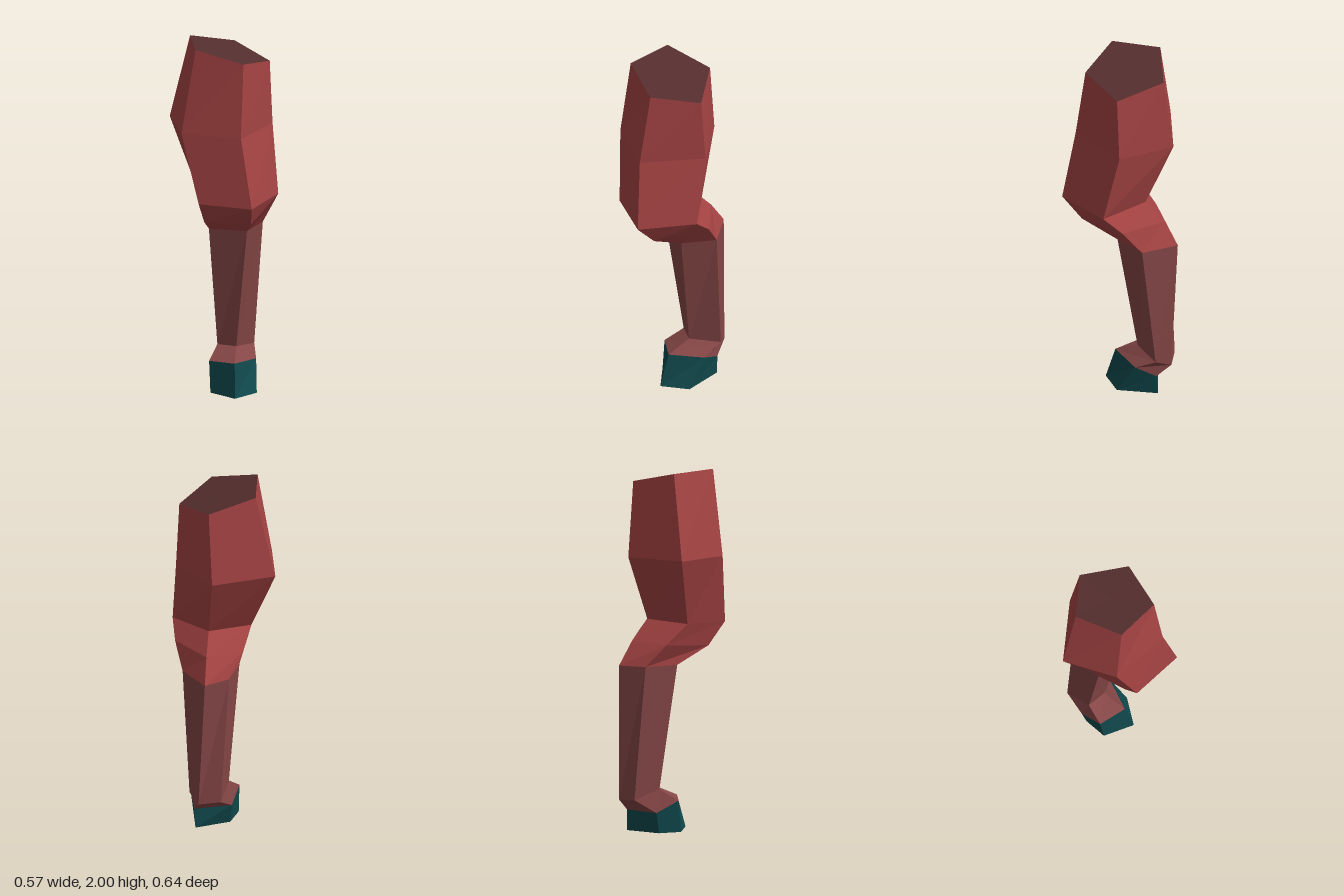
import * as THREE from 'three';

// Five-sided cross-sections, top to bottom; corners run left, front left, front right, back right, back left
const hip = [[0.243, 1.883, -0.02], [0.075, 1.936, 0.2], [-0.177, 2, 0.115], [-0.177, 2, -0.155], [0.075, 1.936, -0.238]];
const midThigh = [[0.26, 1.525, -0.037], [0.055, 1.53, 0.26], [-0.255, 1.53, 0.12], [-0.285, 1.535, -0.185], [0.055, 1.525, -0.288]];
const lowThigh = [[0.282, 1.147, 0.047], [0.107, 1.147, 0.322], [-0.17, 1.15, 0.203], [-0.15, 1.157, -0.04], [0.079, 1.165, -0.138]];
const knee = [[0.265, 1.06, -0.055], [0.115, 1.028, 0.21], [-0.13, 1.02, 0.12], [-0.105, 1.045, -0.15], [0.088, 1.055, -0.235]];
const upperCalf = [[0.22, 0.925, -0.155], [0.115, 0.925, 0.01], [-0.085, 0.925, -0.06], [-0.035, 0.925, -0.24], [0.093, 0.925, -0.322]];
const ankle = [[0.18, 0.215, -0.22], [0.068, 0.24, -0.09], [-0.03, 0.24, -0.14], [0.007, 0.19, -0.283], [0.128, 0.18, -0.295]];
const hoofTop = [[0.178, 0.163, -0.105], [0.045, 0.182, 0.04], [-0.085, 0.175, -0.05], [-0.048, 0.115, -0.174], [0.155, 0.112, -0.218]];
const hoofBase = [[0.17, 0, 0], [0.04, 0, 0.095], [-0.08, 0, -0.03], [-0.039, 0, -0.15], [0.147, 0, -0.225]];

function meshFrom(points, material, name) {
  const geometry = new THREE.BufferGeometry();
  geometry.setAttribute('position', new THREE.Float32BufferAttribute(points.flat(), 3));
  geometry.computeVertexNormals(); // unshared corners give flat facets
  const mesh = new THREE.Mesh(geometry, material);
  mesh.name = name;
  return mesh;
}

// Side walls through a stack of sections
function loft(rings, material, name) {
  const points = [];
  for (let r = 0; r < rings.length - 1; r++) {
    const up = rings[r], lo = rings[r + 1];
    for (let i = 0; i < up.length; i++) {
      const j = (i + 1) % up.length;
      points.push(lo[i], up[i], lo[j], up[i], up[j], lo[j]);
    }
  }
  return meshFrom(points, material, name);
}

// Fan closing one end
function cap(ring, facesUp, material, name) {
  const centre = [0, 1, 2].map((k) => ring.reduce((sum, p) => sum + p[k], 0) / ring.length);
  const points = [];
  ring.forEach((p, i) => {
    const q = ring[(i + 1) % ring.length];
    points.push(centre, ...(facesUp ? [q, p] : [p, q]));
  });
  return meshFrom(points, material, name);
}

export function createModel() {
  const paint = (name, color) => {
    const m = new THREE.MeshStandardMaterial({ color, flatShading: true });
    m.name = name;
    return m;
  };
  const red = paint('thigh red', 0xa54343);
  const dullRed = paint('calf dull red', 0x854646);
  const brown = paint('hip cap brown', 0x552e2e);
  const teal = paint('hoof teal', 0x10484c);
  const black = paint('sole black', 0x18171b);

  const leg = new THREE.Group();
  leg.name = 'leg';
  leg.add(
    cap(hip, true, brown, 'hipCap'),
    loft([hip, midThigh, lowThigh], red, 'thigh'),
    loft([lowThigh, knee, upperCalf], red, 'knee'),
    loft([upperCalf, ankle], dullRed, 'calf'),
    loft([ankle, hoofTop], dullRed, 'ankle'),
    loft([hoofTop, hoofBase], teal, 'hoof'),
    cap(hoofBase, false, black, 'sole'),
  );
  return leg;
}
